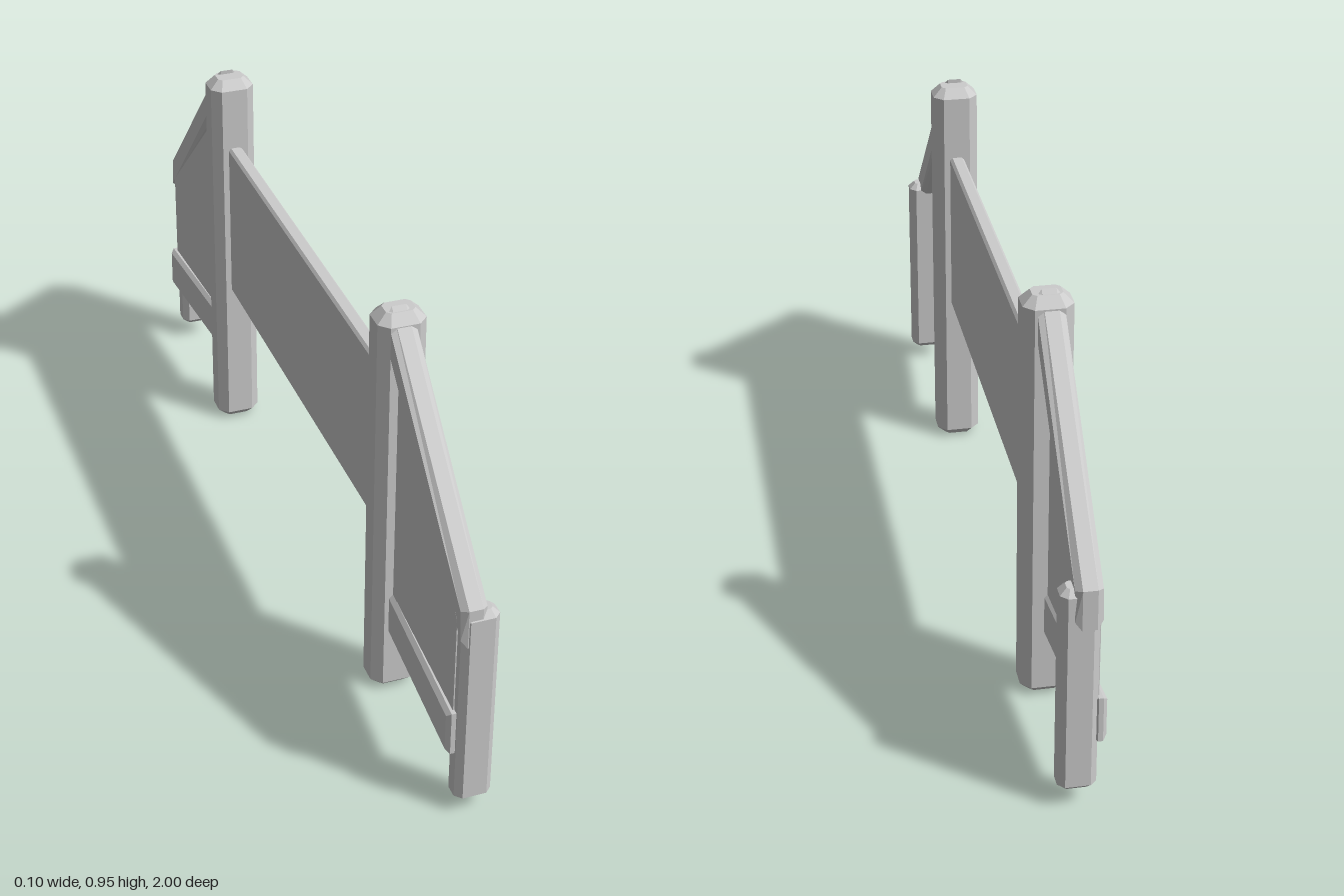
import * as THREE from 'three';

const material = new THREE.MeshStandardMaterial({ color: 0xcccccc, flatShading: true });

// Prism with chamfered rims, centred along its extrusion axis
function prism(points, depth, c) {
  const shape = new THREE.Shape(points.map(([x, y]) => new THREE.Vector2(x, y)));
  const g = new THREE.ExtrudeGeometry(shape, {
    depth: depth - 2 * c, steps: 1, bevelEnabled: true, bevelSegments: 1,
    bevelThickness: c, bevelSize: c, bevelOffset: -c,
  });
  return g.translate(0, 0, -(depth - 2 * c) / 2);
}

// Board outlined in (z, y), with its thickness along x
const board = (points, thickness, c) => prism(points, thickness, c).rotateY(-Math.PI / 2);

// Upright with an octagonal section and chamfered ends
function post(w, d, y0, y1, c) {
  const a = w / 2, b = d / 2;
  const section = [[a, b - c], [a - c, b], [c - a, b], [-a, b - c],
    [-a, c - b], [c - a, -b], [a - c, -b], [a, c - b]];
  return prism(section, y1 - y0, c).rotateX(-Math.PI / 2).translate(0, (y0 + y1) / 2, 0);
}

// Slant a board sideways: x = x0 + k * (distance past the tall post)
function slant(g, s, x0, k) {
  const p = g.attributes.position;
  for (let i = 0; i < p.count; i++) {
    p.setX(i, p.getX(i) + x0 + k * (s * p.getZ(i) - 0.6));
  }
  g.computeVertexNormals();
  return g;
}

export function createModel() {
  const model = new THREE.Group();
  model.name = 'fence';
  const add = (parent, name, geometry) => {
    const mesh = new THREE.Mesh(geometry, material);
    mesh.name = name;
    parent.add(mesh);
  };

  // Middle board between the tall posts
  add(model, 'middleBoard',
    board([[0.53, 0.38], [0.53, 0.775], [-0.55, 0.775], [-0.55, 0.38]], 0.034, 0.006));

  const ends = [
    { name: 'frontWing', s: 1, tall: 0.5475, short: 0.972, low: 0.03, high: 0.512 },
    { name: 'backWing', s: -1, tall: 0.5675, short: 0.962, low: 0.042, high: 0.52 },
  ];
  for (const { name, s, tall, short, low, high } of ends) {
    const wing = new THREE.Group();
    wing.name = name;
    model.add(wing);
    const outline = (pts) => pts.map(([z, y]) => [s * z, y]);

    add(wing, 'tallPost', post(0.104, 0.086, 0, 0.946, 0.021).translate(0, 0, s * tall));
    add(wing, 'shortPost', post(0.08, 0.056, low, high, 0.014).translate(0.012, 0, s * short));

    // Sloping top rail, cut upright at both ends
    add(wing, 'slopingRail', board(outline(
      [[tall + 0.01, 0.955], [tall + 0.01, 0.87], [0.998, 0.435], [0.998, 0.525]]),
      0.056, 0.013).translate(-0.003, 0, 0));

    // Thin infill panel and bottom rail, both drifting to the -x side
    add(wing, 'infillPanel', slant(board(outline(
      [[tall, 0.17], [tall, 0.92], [0.97, 0.49], [0.97, 0.17]]), 0.012, 0.001), s, -0.007, -0.05));
    add(wing, 'bottomRail', slant(board(outline(
      [[tall, 0.156], [tall, 0.26], [0.982, 0.26], [0.982, 0.156]]), 0.028, 0.009), s, -0.008, -0.066));
  }
  return model;
}
